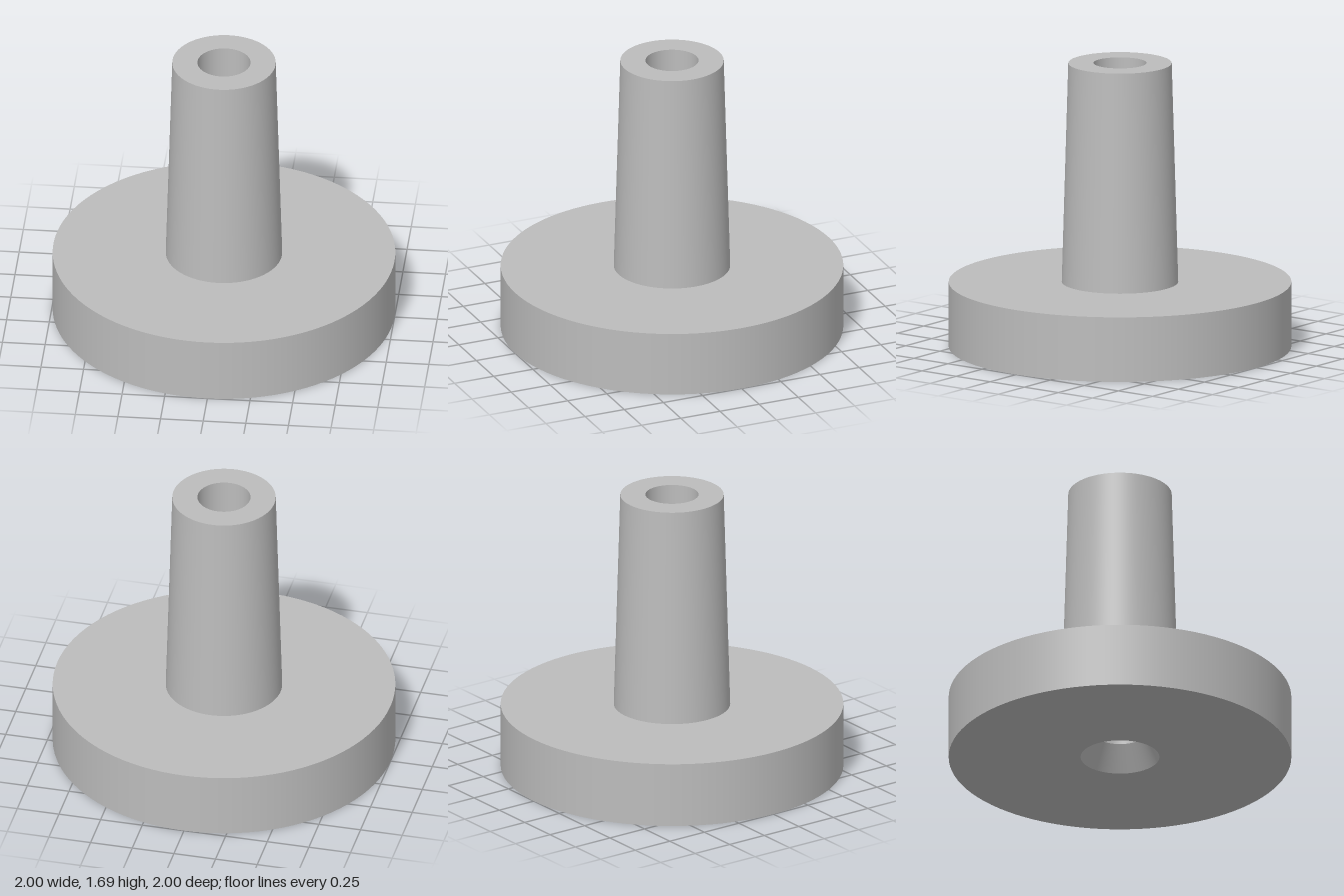
import * as THREE from 'three';

const SEGMENTS = 96;

export function createModel() {
  const model = new THREE.Group();
  model.name = 'flangedHub';
  const greyMetal = new THREE.MeshStandardMaterial({ color: 0xbcbcbc });
  greyMetal.name = 'greyMetal';

  const baseRadius = 1, baseTop = 0.385;
  const stemFoot = 0.34, stemTip = 0.302, height = 1.69;
  const bore = 0.155, flareRadius = 0.23, flareTop = 0.155;

  // Each turned surface is its own lathe, so the rims between them stay sharp
  function turned(name, parent, from, to) {
    const profile = [new THREE.Vector2(...from), new THREE.Vector2(...to)];
    const mesh = new THREE.Mesh(new THREE.LatheGeometry(profile, SEGMENTS), greyMetal);
    mesh.name = name;
    parent.add(mesh);
  }

  function part(name) {
    const group = new THREE.Group();
    group.name = name;
    model.add(group);
    return group;
  }

  // Round base plate
  const base = part('base');
  turned('baseUnderside', base, [flareRadius, 0], [baseRadius, 0]);
  turned('baseRim', base, [baseRadius, 0], [baseRadius, baseTop]);
  turned('baseTop', base, [baseRadius, baseTop], [stemFoot, baseTop]);

  // Tapered hollow stem
  const stem = part('stem');
  turned('stemWall', stem, [stemFoot, baseTop], [stemTip, height]);
  turned('stemEnd', stem, [stemTip, height], [bore, height]);

  // Through hole, flared at the underside
  const hole = part('throughHole');
  turned('boreWall', hole, [bore, height], [bore, flareTop]);
  turned('flare', hole, [bore, flareTop], [flareRadius, 0]);

  return model;
}
